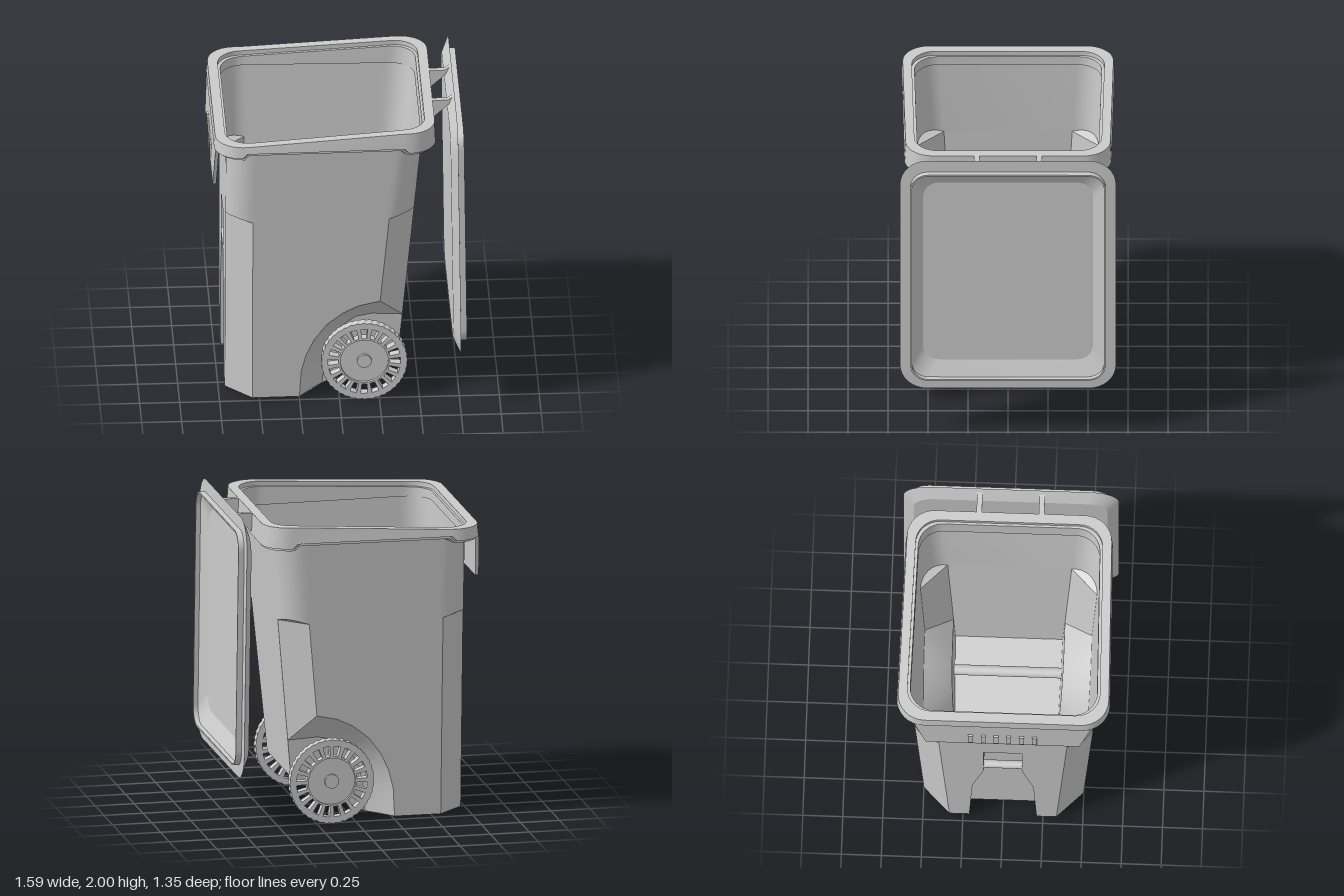
import * as THREE from 'three';
import { toCreasedNormals } from 'three/addons/utils/BufferGeometryUtils.js';

const V = (x, y, z) => new THREE.Vector3(x, y, z);
const mat = new THREE.MeshStandardMaterial({ color: 0xcccccc, side: THREE.DoubleSide });

function add(group, name, geo) {
  const m = new THREE.Mesh(geo, mat);
  m.name = name;
  group.add(m);
  return m;
}

// Skin a list of equally long point rows
function loft(rows, closed = false, crease = 0.5) {
  const n = rows[0].length, idx = [];
  const geo = new THREE.BufferGeometry().setFromPoints(rows.flat());
  for (let j = 0; j < rows.length - 1; j++)
    for (let i = 0; i < (closed ? n : n - 1); i++) {
      const a = j * n + i, b = j * n + (i + 1) % n;
      idx.push(a, a + n, b, b, a + n, b + n);
    }
  geo.setIndex(idx);
  geo.computeVertexNormals();
  return toCreasedNormals(geo, crease);
}

// Flat outline whose 2D points are mapped into space by a rule
function panel(pts, map) {
  const geo = new THREE.ShapeGeometry(new THREE.Shape(pts.map(p => new THREE.Vector2(...p))));
  const p = geo.attributes.position;
  for (let i = 0; i < p.count; i++) p.setXYZ(i, ...map(p.getX(i), p.getY(i)));
  geo.computeVertexNormals();
  return geo;
}

// Rounded rectangle in x and z; w(x) is the half width, y(x, onSide) the height
function ring(x0, x1, w, r, y, n = 8) {
  const pts = [];
  const side = (x, s) => pts.push(V(x, y(x, true), s * w(x)));
  for (let q = 0; q < 4; q++) {
    const cx = q === 0 || q === 3 ? x1 - r : x0 + r, s = q < 2 ? 1 : -1;
    for (let i = 0; i <= n; i++) {
      const a = (q + i / n) * Math.PI / 2, x = cx + r * Math.cos(a);
      pts.push(V(x, y(x, false), s * (w(cx) - r) + r * Math.sin(a)));
    }
    if (q === 0) { side(x1 - r - 0.03, 1); side(x0 + r + 0.03, 1); }
    if (q === 2) { side(x0 + r + 0.03, -1); side(x1 - r - 0.03, -1); }
  }
  return pts;
}

// Body rules: side wall, end wall and corner cut
const CUT = 0.165, X0 = -0.71, C0 = X0 + CUT, FLOOR = 0.02, SHELF = 1.3;
const W = (x, y) => 0.49 + 0.052 * y - 0.015 * x;
const X1 = y => 0.354 + 0.0923 * y;
const C1 = y => X1(y) - CUT;
const F = y => W(C0, y) - CUT;
const R = y => W(C1(y), y) - CUT;
// the lower edge of the rounded corners arches up a little
const shelfY = x => {
  const c = Math.min(1, Math.max(0, C0 - x, x - C1(SHELF)) / CUT);
  return SHELF + 0.05 * c * Math.sqrt(1 - c * c);
};

function buildBody() {
  const g = new THREE.Group();
  g.name = 'body';
  const bodyRing = (h, y) => ring(X0, X1(h), x => W(x, h), CUT, y);
  add(g, 'upperBody', loft([bodyRing(SHELF, shelfY), bodyRing(1.83, () => 1.83)], true));

  // wheel arch: mouth on the side wall, and inner edge
  const mouth = [[-0.25, FLOOR], [-0.24, 0.2], [-0.21, 0.32], [-0.16, 0.43], [-0.08, 0.54], [0.02, 0.62], [0.12, 0.67], [C1(0.7), 0.7]];
  const inner = [[-0.1, FLOOR], [-0.085, 0.2], [-0.06, 0.3], [-0.02, 0.38], [0.04, 0.45], [0.11, 0.5], [0.21, 0.52], [X1(0.51), 0.51]];
  const slot = [[1.15, 0.12], [0.82, 0.12], [0.55, 0.19], [FLOOR, 0.21]];
  const backLow = 0.27;

  for (const s of [1, -1]) {
    const wall = (x, y) => V(x, y, s * W(x, y));
    add(g, 'sideWall', panel([[C0, FLOOR], ...mouth, [C1(SHELF), SHELF], [C0, SHELF]], (x, y) => [x, y, s * W(x, y)]));
    const outerRow = mouth.map(p => wall(...p)), innerRow = inner.map(([x, y]) => V(x, y, s * R(y)));
    // slightly domed between mouth and inner edge
    const midRow = outerRow.map((p, i) => {
      const m = p.clone().lerp(innerRow[i], 0.5);
      if (i < outerRow.length - 1) m.z -= s * 0.015;
      return m;
    });
    add(g, 'wheelArch', loft([outerRow, midRow, innerRow]));
    add(g, 'archInnerWall', panel([...inner, [X1(backLow), backLow]], (x, y) => [x, y, s * R(y)]));
    add(g, 'frontCorner', loft([FLOOR, SHELF].map(y => [V(X0, y, s * F(y)), wall(C0, y)])));
    add(g, 'rearCorner', loft([
      [wall(C1(0.7), 0.7), V(X1(0.51), 0.51, s * R(0.51))],
      [wall(C1(SHELF), SHELF), V(X1(SHELF), SHELF, s * R(SHELF))]]));
    // small ledges where the rounded corners meet the flat cuts
    for (const [cx, d] of [[C0, -1], [C1(SHELF), 1]]) {
      const arc = [];
      for (let i = 0; i <= 8; i++) {
        const a = i / 8 * Math.PI / 2;
        arc.push([cx + d * CUT * Math.cos(a), W(cx, SHELF) - CUT + CUT * Math.sin(a)]);
      }
      add(g, 'cornerLedge', panel(arc, (x, z) => [x, shelfY(x), s * z]));
    }
    add(g, 'floor', panel([[-0.61, 0], [-0.61, 0.21], [X0, 0.21], [X0, F(FLOOR)], [C0, W(C0, FLOOR)],
      [-0.25, W(-0.25, FLOOR)], [-0.1, R(FLOOR)], [-0.1, 0]], (x, z) => [x, FLOOR, s * z]));
  }
  add(g, 'slopedFloor', loft([[-0.1, FLOOR], [X1(backLow), backLow]].map(([x, y]) => [V(x, y, -R(y)), V(x, y, R(y))])));
  add(g, 'rearWall', loft([backLow, 0.51, SHELF].map(y => [V(X1(y), y, -R(y)), V(X1(y), y, R(y))])));

  // front wall with the grab recess
  const edge = [...slot.map(([y, z]) => [-z, y]).reverse(), ...slot.map(([y, z]) => [z, y])];
  add(g, 'frontWall', panel([...edge, [F(FLOOR), FLOOR], [F(SHELF), SHELF], [-F(SHELF), SHELF], [-F(FLOOR), FLOOR]],
    (z, y) => [X0, y, z]));
  add(g, 'recessSides', loft([X0, -0.61].map(x => edge.map(([z, y]) => V(x, y, z))), false, 0.1));
  add(g, 'recessBack', panel(edge, (z, y) => [-0.61, y, z]));
  const bar = add(g, 'grabBar', new THREE.CylinderGeometry(0.026, 0.026, 0.26, 16));
  bar.rotation.x = Math.PI / 2;
  bar.position.set(-0.685, 0.88, 0);
  return g;
}

function buildRim() {
  const g = new THREE.Group();
  g.name = 'rim';
  const top = x => 1.89 + 0.06 * THREE.MathUtils.clamp((x + 0.57) / 0.98, 0, 1);
  const low = (x, onSide) => onSide ? 1.83 : 1.8;
  const lip = (x, s) => low(x, s) + 0.015;
  const r = (x0, x1, w, y, rad = 0.17) => ring(x0, x1, x => w - 0.018 * x, rad, y);
  add(g, 'rimBand', loft([
    r(X0, 0.52, 0.582, () => 1.83, 0.165), r(-0.77, 0.59, 0.647, low), r(-0.77, 0.59, 0.647, lip),
    r(-0.785, 0.603, 0.656, lip), r(-0.778, 0.597, 0.648, top),
    r(-0.715, 0.535, 0.592, top, 0.15), r(-0.715, 0.535, 0.592, x => top(x) - 0.03, 0.15),
    r(-0.7, 0.52, 0.575, x => top(x) - 0.03, 0.15), r(-0.7, 0.515, 0.572, () => 1.8, 0.15)], true));

  // hanging front apron with grip ribs
  const apron = [[-0.55, 1.81], [-0.48, 1.54], [0.48, 1.54], [0.55, 1.81]];
  const geo = new THREE.ExtrudeGeometry(new THREE.Shape(apron.map(p => new THREE.Vector2(...p))), { depth: 0.022, bevelEnabled: false });
  geo.rotateY(-Math.PI / 2);
  const p = geo.attributes.position;
  for (let i = 0; i < p.count; i++) p.setX(i, p.getX(i) - 0.757 - (1.81 - p.getY(i)) * 0.05);
  geo.computeVertexNormals();
  add(g, 'frontApron', geo);
  for (let i = 0; i < 6; i++)
    add(g, 'gripRib', new THREE.BoxGeometry(0.025, 0.11, 0.03)).position.set(-0.786, 1.62, -0.2 + i * 0.08);

  // hinge arms
  const arm = new THREE.Shape([[0.58, 1.95], [0.69, 1.95], [0.72, 1.97], [0.72, 1.94], [0.6, 1.83], [0.58, 1.83]].map(q => new THREE.Vector2(...q)));
  for (const z of [-0.195, 0.195])
    add(g, 'hingeArm', new THREE.ExtrudeGeometry(arm, { depth: 0.034, bevelEnabled: false })).position.z = z - 0.017;
  return g;
}

// Open lid hanging behind the bin: dome towards the bin, hollow underside outwards
function buildLid() {
  const g = new THREE.Group();
  g.name = 'lid';
  const at = (y, d, z) => V(0.755 - 0.013 * (y - 0.33) + d, y, z);
  const loop = (w, y0, y1, r, d) => ring(y0, y1, () => w, r, () => 0).map(p => at(p.x, d, p.z));
  const flange = loop(0.675, 0.33, 2, 0.17, 0);
  const cap = d => flange.map(() => at(1.17, d, 0));
  add(g, 'lidTop', loft([flange, loop(0.605, 0.42, 1.9, 0.13, -0.045), cap(-0.045)], true, 0.25));
  add(g, 'lidUnderside', loft([flange, loop(0.61, 0.41, 1.92, 0.11, 0.003), loop(0.61, 0.41, 1.92, 0.11, 0.04),
    loop(0.6, 0.42, 1.91, 0.1, 0.04), loop(0.6, 0.42, 1.91, 0.1, 0.01),
    loop(0.53, 0.52, 1.82, 0.1, -0.035), cap(-0.035)], true, 0.25));
  return g;
}

// Treaded wheel with a ring of slots and a sunken hub, facing +z
function buildWheel() {
  const g = new THREE.Group();
  g.name = 'wheel';
  const polar = (r, a) => new THREE.Vector2(r * Math.cos(a), r * Math.sin(a));
  const outline = [];
  for (let i = 0; i < 160; i++) outline.push(polar(i % 4 < 2 ? 0.27 : 0.266, i / 160 * Math.PI * 2));
  const shape = new THREE.Shape(outline);
  shape.holes.push(new THREE.Path().absarc(0, 0, 0.15, 0, Math.PI * 2, true));
  for (let i = 0; i < 20; i++) {
    const a = i / 20 * Math.PI * 2, h = 0.095;
    shape.holes.push(new THREE.Path([polar(0.162, a - h), polar(0.162, a + h), polar(0.228, a + h), polar(0.228, a - h)]));
  }
  add(g, 'tyre', new THREE.ExtrudeGeometry(shape, { depth: 0.055, bevelEnabled: false, curveSegments: 20 })).position.z = 0.462;
  for (const [name, r, z] of [['hubDisc', 0.15, 0.5], ['hubCap', 0.045, 0.517]]) {
    const m = add(g, name, new THREE.CylinderGeometry(r, r, 0.04, 40));
    m.rotation.x = Math.PI / 2;
    m.position.z = z - 0.02;
  }
  return g;
}

export function createModel() {
  const model = new THREE.Group();
  model.name = 'wheeledBin';
  model.add(buildBody(), buildRim(), buildLid());
  for (const [turn, roll] of [[0, 0], [Math.PI, Math.PI / 20]]) {
    const wheel = buildWheel();
    wheel.rotation.set(0, turn, roll);
    wheel.position.set(0.155, 0.27, 0);
    model.add(wheel);
  }
  const axle = add(model, 'axle', new THREE.CylinderGeometry(0.033, 0.033, 0.96, 20));
  axle.rotation.x = Math.PI / 2;
  axle.position.set(0.155, 0.27, 0);
  return model;
}
